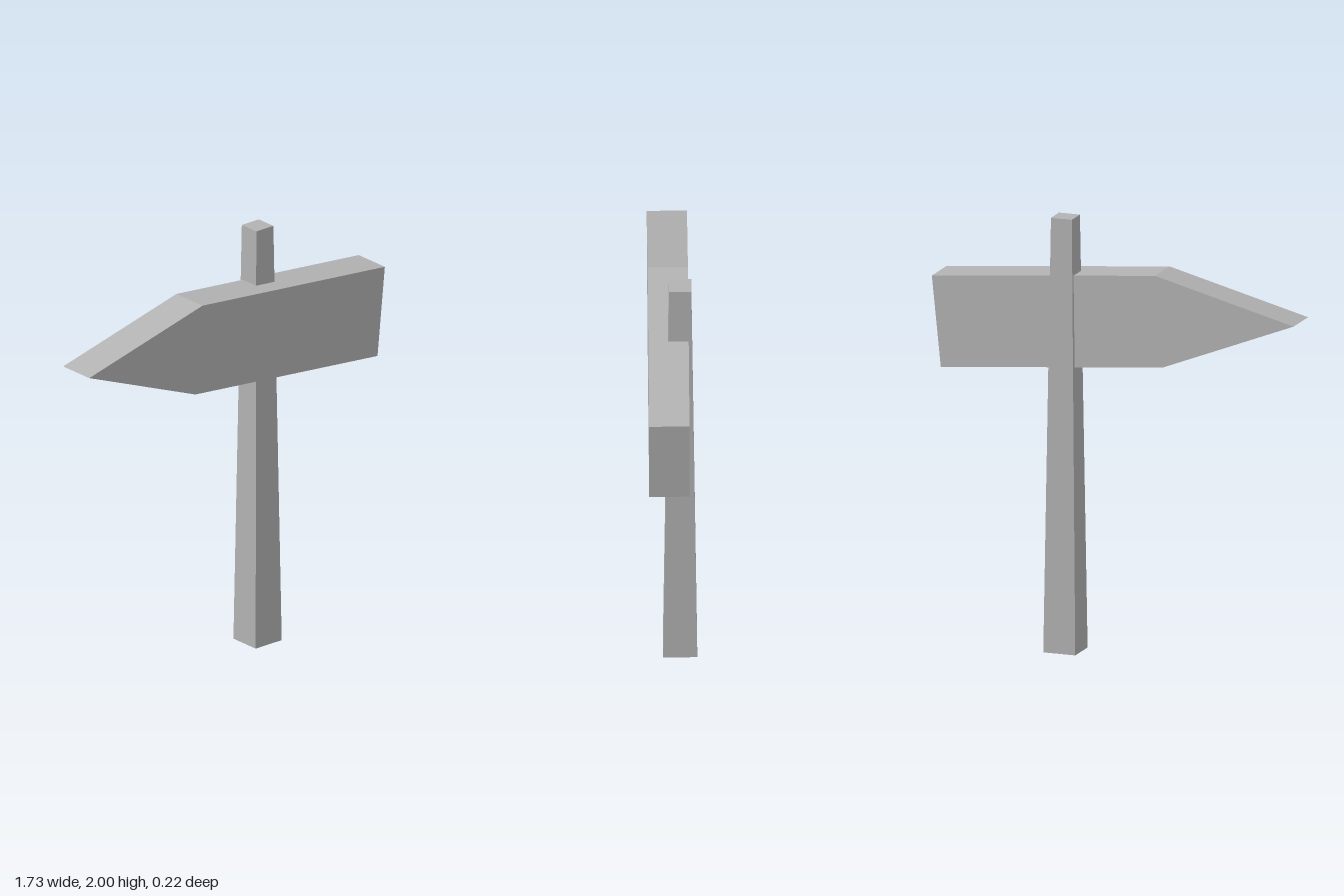
import * as THREE from 'three';

export function createModel() {
  const group = new THREE.Group();
  const grey = new THREE.MeshStandardMaterial({ color: 0xb2b2b2 });
  grey.name = 'plain grey';

  // Square post, narrowing towards the top
  const postGeometry = new THREE.BoxGeometry(0.1, 2, 0.1);
  const pos = postGeometry.attributes.position;
  for (let i = 0; i < pos.count; i++) {
    if (pos.getY(i) < 0) {
      pos.setX(i, pos.getX(i) * 1.53);
      pos.setZ(i, pos.getZ(i) * 1.53);
    }
  }
  postGeometry.computeVertexNormals();
  const post = new THREE.Mesh(postGeometry, grey);
  post.name = 'post';
  post.position.set(0.24, 1, -0.033);
  group.add(post);

  // Tilted arrow-shaped board, let into the front of the post
  const outline = new THREE.Shape([
    [-0.867, 1.604], [-0.245, 1.358], [0.822, 1.258], [0.865, 1.677], [-0.203, 1.776],
  ].map(([x, y]) => new THREE.Vector2(x, y)));
  const board = new THREE.Mesh(
    new THREE.ExtrudeGeometry(outline, { depth: 0.18, bevelEnabled: false }), grey);
  board.name = 'arrowBoard';
  board.position.z = -0.071;
  group.add(board);

  return group;
}
